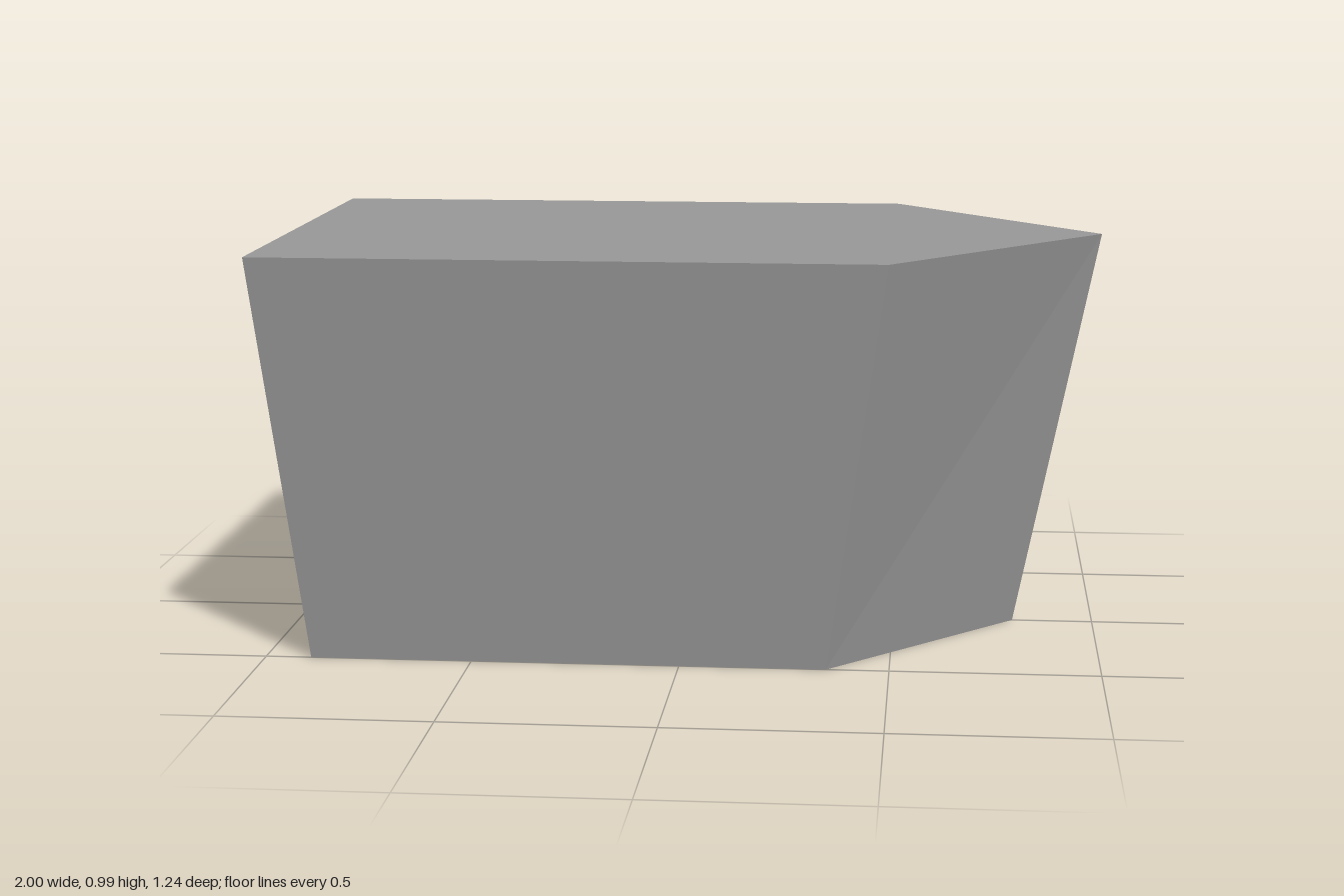
import * as THREE from 'three';

// Pentagon outline, counter-clockwise seen from above: [x, z]
const outline = (back, shoulder, tip, half) => [
  [back, half], [shoulder, half], [tip, 0], [shoulder, -half], [back, -half],
];

export function createModel() {
  const group = new THREE.Group();
  const grey = new THREE.MeshStandardMaterial({ color: 0x999999, side: THREE.DoubleSide });
  grey.name = 'grey';

  const height = 0.985;
  const low = outline(-0.89, 0.35, 0.8, 0.5).map(([x, z]) => [x, 0, z]);
  const high = outline(-1, 0.49, 1, 0.618).map(([x, z]) => [x, height, z]);

  const addPart = (name, triangles) => {
    const geometry = new THREE.BufferGeometry();
    geometry.setAttribute('position', new THREE.Float32BufferAttribute(triangles.flat(), 3));
    geometry.computeVertexNormals();
    const mesh = new THREE.Mesh(geometry, grey);
    mesh.name = name;
    group.add(mesh);
  };

  // Five flared walls, open at the bottom
  const names = ['frontWall', 'frontTipWall', 'backTipWall', 'backWall', 'endWall'];
  names.forEach((name, i) => {
    const j = (i + 1) % 5;
    addPart(name, [low[i], low[j], high[j], low[i], high[j], high[i]]);
  });

  // Flat lid
  addPart('lid', [1, 2, 3].flatMap((i) => [high[0], high[i], high[i + 1]]));

  return group;
}
